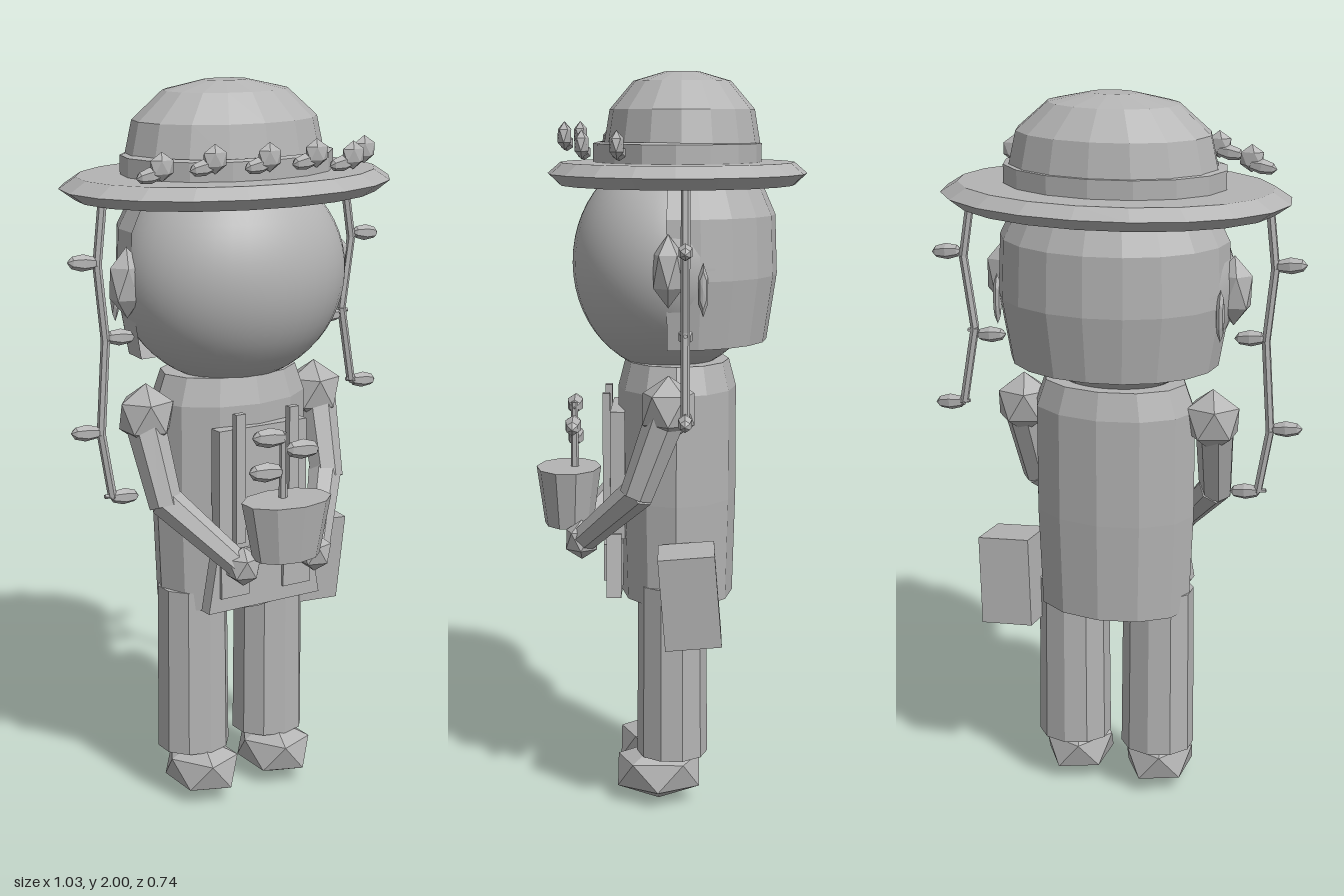
import * as THREE from 'three';

const gray = new THREE.MeshStandardMaterial({ color: 0xb4b4b4 });
gray.name = 'plain gray';
gray.side = THREE.DoubleSide;

// Faceted copy of a geometry
function flat(geo) {
  const g = geo.index ? geo.toNonIndexed() : geo;
  g.computeVertexNormals();
  return g;
}

export function createModel() {
  const model = new THREE.Group();

  function add(name, geo, pos = [0, 0, 0], scale = [1, 1, 1], rot = [0, 0, 0]) {
    const m = new THREE.Mesh(geo, gray);
    m.name = name;
    m.position.set(...pos);
    m.scale.set(...scale);
    m.rotation.set(...rot);
    model.add(m);
    return m;
  }
  const box = (name, size, pos, rot) => add(name, new THREE.BoxGeometry(...size), pos, [1, 1, 1], rot);

  // Icosahedron with a vertex at each pole
  const gem = flat(new THREE.IcosahedronGeometry(1, 0).rotateZ(Math.atan2(1, (1 + Math.sqrt(5)) / 2)));
  const leafShape = flat(new THREE.SphereGeometry(1, 6, 4).rotateZ(Math.PI / 2));
  const leaf = (name, x, y, z, r = 0.045, tilt = 0) =>
    add(name, leafShape, [x, y, z], [r, r * 0.5, r * 0.45], [0, 0, tilt]);

  // Faceted lathe from [radius, y] pairs
  function lathe(name, pts, sides, pos, scale, start = 0, sweep = Math.PI * 2) {
    const profile = pts.map(([r, y]) => new THREE.Vector2(r, y));
    return add(name, flat(new THREE.LatheGeometry(profile, sides, start, sweep)), pos, scale);
  }

  // Faceted rod between two points
  function rod(name, a, b, ra, rb, sides) {
    const A = new THREE.Vector3(...a), B = new THREE.Vector3(...b);
    const d = B.clone().sub(A);
    const m = add(name, flat(new THREE.CylinderGeometry(rb, ra, d.length(), sides)));
    m.position.copy(A).add(B).multiplyScalar(0.5);
    m.quaternion.setFromUnitVectors(new THREE.Vector3(0, 1, 0), d.normalize());
    return m;
  }

  // Head and hair
  add('head', new THREE.SphereGeometry(1, 40, 28), [0, 1.49, 0], [0.325, 0.3, 0.266]);
  lathe('hair', [[0.6, 1.28], [0.9, 1.28], [1, 1.46], [0.98, 1.62], [0.82, 1.72], [0, 1.74]], 10,
    [0, 0, -0.02], [0.318, 1, 0.272], Math.PI * 0.47, Math.PI * 1.06);
  for (const s of [1, -1]) {
    add('ear', gem, [s * 0.325, 1.49, 0.0], [0.055, 0.095, 0.045]);
    add('hairTuft', leafShape, [s * 0.312, 1.44, -0.09], [0.012, 0.07, 0.014]);
  }

  // Hat
  lathe('hatBrim', [[0, 1.7], [0.91, 1.7], [1, 1.73], [0.9, 1.76], [0, 1.76]], 20, [0, 0, -0.02], [0.477, 1, 0.352]);
  lathe('hatBand', [[0.9, 1.75], [1, 1.755], [1, 1.81], [0.92, 1.815]], 16, [0, 0, -0.02], [0.305, 1, 0.228]);
  lathe('hatCrown', [[1, 1.75], [0.99, 1.81], [0.92, 1.9], [0.62, 1.975], [0.22, 2.0], [0, 2.0]], 16,
    [0, 0, -0.033], [0.288, 1, 0.213]);

  // Buds and leaves along the front of the brim
  const buds = [[-0.32, 1.81, 0.18], [-0.21, 1.83, 0.255], [-0.07, 1.83, 0.29],
    [0.08, 1.83, 0.28], [0.235, 1.81, 0.225], [0.34, 1.81, 0.13]];
  for (const [x, y, z] of buds) {
    add('hatBud', gem, [x, y, z], [0.037, 0.038, 0.021]);
    leaf('hatLeaf', x - 0.03, y - 0.02, z - 0.005, 0.042, 0.15);
  }

  // Hanging vines
  const vines = [
    { z: 0.03, path: [[-0.41, 1.71], [-0.428, 1.55], [-0.408, 1.35], [-0.425, 1.1], [-0.395, 0.925], [-0.37, 0.92]],
      leaves: [[-0.47, 1.56], [-0.365, 1.355], [-0.47, 1.11], [-0.36, 0.92]] },
    { z: -0.045, path: [[0.4, 1.71], [0.427, 1.54], [0.398, 1.34], [0.435, 1.125], [0.46, 1.12]],
      leaves: [[0.475, 1.55], [0.35, 1.325], [0.475, 1.12]] },
  ];
  for (const { z, path, leaves } of vines) {
    for (let i = 1; i < path.length; i++) rod('vine', [...path[i - 1], z], [...path[i], z], 0.012, 0.012, 6);
    for (const [x, y] of leaves) {
      leaf('vineLeaf', x, y, z, 0.045, -0.1);
      rod('vineTwig', [Math.sign(x) * 0.418, y + 0.008, z], [x, y, z], 0.006, 0.006, 5);
    }
  }

  // Torso
  lathe('torso', [[0, 0.57], [0.95, 0.57], [1, 0.85], [1, 1.15], [0.88, 1.225], [0, 1.225]], 12,
    [0, 0, -0.02], [0.228, 1, 0.162]);

  // Apron with straps and pockets
  box('apronBib', [0.28, 0.35, 0.04], [0, 0.92, 0.14]);
  const skirt = new THREE.Shape([[-0.15, 0.76], [-0.18, 0.59], [0.18, 0.59], [0.15, 0.76]].map(p => new THREE.Vector2(...p)));
  add('apronSkirt', new THREE.ExtrudeGeometry(skirt, { depth: 0.04, bevelEnabled: false }), [0, 0, 0.13]);
  for (const s of [1, -1]) {
    box('apronStrap', [0.03, 0.36, 0.02], [s * 0.085, 0.96, 0.172]);
    box('apronPocket', [0.09, 0.1, 0.009], [s * 0.1, 0.68, 0.174]);
  }

  // Arms, legs and shoes
  for (const s of [1, -1]) {
    add('shoulder', gem, [s * 0.272, 1.125, 0], [0.083, 0.088, 0.08]);
    rod('upperArm', [s * 0.28, 1.12, 0], [s * 0.262, 0.89, 0.085], 0.055, 0.046, 7);
    rod('forearm', [s * 0.262, 0.905, 0.075], [s * 0.12, 0.735, 0.24], 0.047, 0.036, 7);
    add('hand', gem, [s * 0.115, 0.738, 0.24], [0.052, 0.055, 0.05]);
    lathe('leg', [[0, 0.14], [1, 0.14], [0.96, 0.62], [0, 0.62]], 10, [s * 0.125, 0, -0.008], [0.104, 1, 0.097]);
    add('shoe', gem, [s * 0.122, 0.083, 0.03], [0.108, 0.083, 0.132]);
  }

  // Flower pot with sprout
  lathe('pot', [[0, 0.76], [0.75, 0.76], [1, 0.92], [0, 0.92]], 10, [-0.005, 0, 0.282], [0.132, 1, 0.09]);
  rod('sproutStem', [-0.006, 0.91, 0.265], [-0.006, 1.1, 0.265], 0.012, 0.009, 6);
  for (const [x, y] of [[-0.05, 1.09], [0.055, 1.045], [-0.06, 0.997]]) leaf('sproutLeaf', x, y, 0.265, 0.055, -0.1);

  // Side bag
  box('sideBag', [0.148, 0.25, 0.15], [0.29, 0.625, -0.057], [0.08, 0, -0.06]);

  return model;
}
